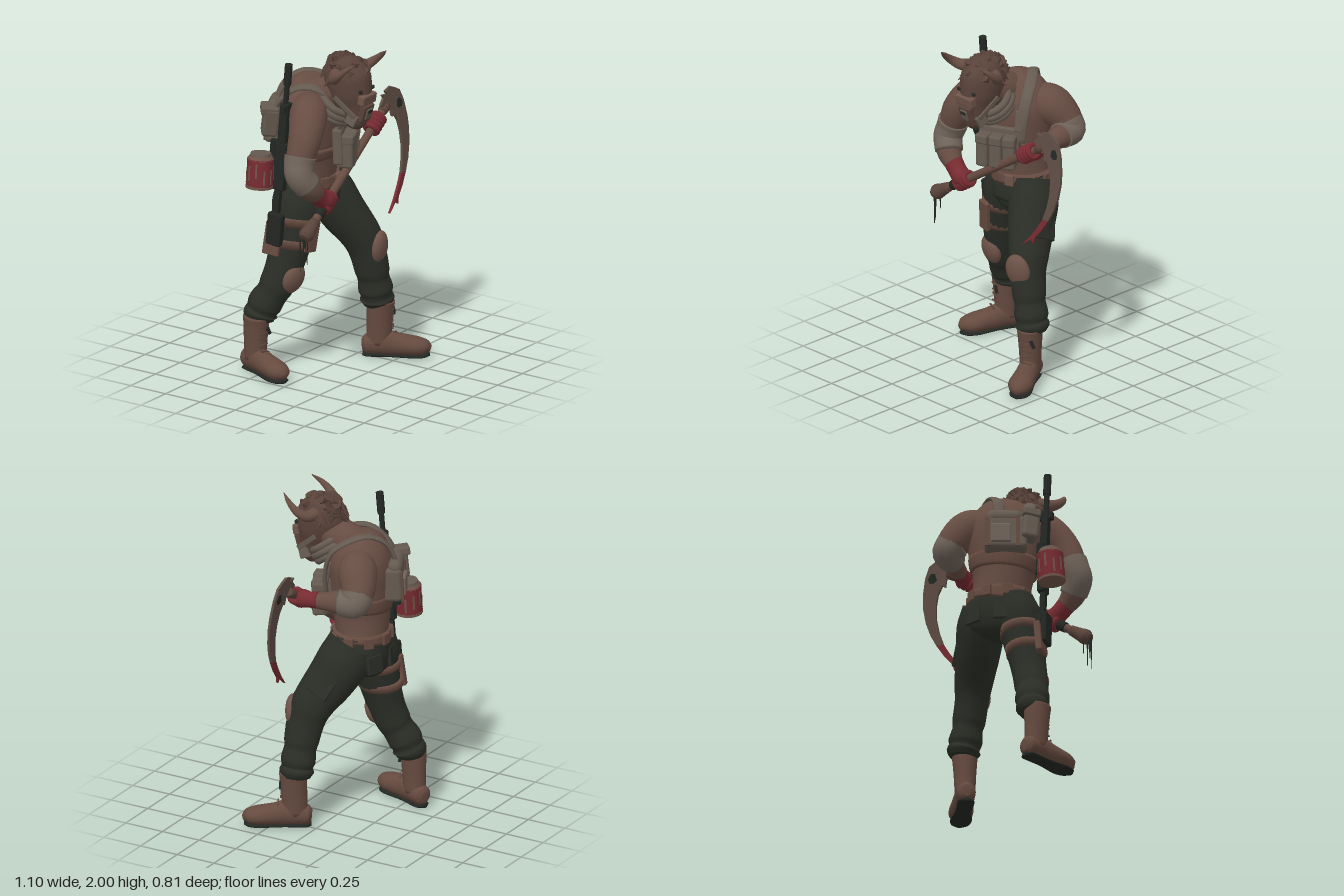
import * as THREE from 'three';
import { RoundedBoxGeometry } from 'three/addons/geometries/RoundedBoxGeometry.js';

const mat = (name, color) => Object.assign(new THREE.MeshStandardMaterial({ color }), { name });
const M = {
  skin: mat('skin', 0x674d43), hide: mat('hide', 0x59433a), pants: mat('trousers', 0x2b2e27),
  red: mat('red', 0x762b31), gear: mat('canvas', 0x655a50), wrap: mat('bandage', 0x70645a),
  leather: mat('leather', 0x654a3f), knee: mat('kneePad', 0x6e5348), dark: mat('gunmetal', 0x232723),
  blade: mat('wornBlade', 0x5e4d44),
};
const TWIST = 0.44; // the chest is turned towards the model's left
const CHEST = [Math.cos(TWIST), 0, -Math.sin(TWIST)];

// Closed sweep: stations are [x, y, z, sideRadius, frontRadius]
function sweep(pts, ref = [1, 0, 0], n = 20, per = 6) {
  const path = new THREE.CatmullRomCurve3(pts.map(p => new THREE.Vector3(p[0], p[1], p[2])));
  const size = new THREE.CatmullRomCurve3(pts.map(p => new THREE.Vector3(p[3], p[4] ?? p[3], 0)), false, 'catmullrom', 0.4);
  const steps = (pts.length - 1) * per, pos = [], idx = [];
  const A = new THREE.Vector3(...ref), B = new THREE.Vector3();
  for (let i = 0; i <= steps; i++) {
    const c = path.getPoint(i / steps), s = size.getPoint(i / steps), T = path.getTangent(i / steps);
    A.addScaledVector(T, -A.dot(T)).normalize();
    B.crossVectors(A, T);
    for (let j = 0; j < n; j++) {
      const t = j / n * Math.PI * 2;
      const p = c.clone().addScaledVector(A, Math.cos(t) * s.x).addScaledVector(B, Math.sin(t) * s.y);
      pos.push(p.x, p.y, p.z);
      const k = (j + 1) % n, a = i * n + j, b = i * n + k;
      if (i < steps) idx.push(a, a + n, b + n, a, b + n, b);
    }
  }
  const start = pos.length / 3, last = steps * n;
  pos.push(...pts[0].slice(0, 3), ...pts[pts.length - 1].slice(0, 3));
  for (let j = 0; j < n; j++) {
    const k = (j + 1) % n;
    idx.push(start, j, k, start + 1, last + k, last + j);
  }
  const g = new THREE.BufferGeometry();
  g.setAttribute('position', new THREE.Float32BufferAttribute(pos, 3));
  g.setIndex(idx);
  g.computeVertexNormals();
  return g;
}

export function createModel() {
  const root = new THREE.Group();
  root.name = 'hornedWarrior';
  const add = (name, geo, m, p = [0, 0, 0], r = [0, 0, 0], s = [1, 1, 1], parent = root) => {
    const o = new THREE.Mesh(geo, m);
    o.name = name;
    o.position.set(...p); o.rotation.set(...r); o.scale.set(...s);
    parent.add(o);
    return o;
  };
  const box = (name, w, h, d, m, p, r, parent) =>
    add(name, new RoundedBoxGeometry(w, h, d, 2, Math.min(w, h, d) * 0.22), m, p, r, undefined, parent);
  const ball = (name, s, m, p, r) => add(name, new THREE.SphereGeometry(1, 20, 14), m, p, r, s);
  const cyl = (name, r1, r2, h, m, p, r, parent) =>
    add(name, new THREE.CylinderGeometry(r1, r2, h, 20), m, p, r, undefined, parent);

  // Torso, neck and hips
  add('torso', sweep([[-.06, 1.12, -.13, .17, .15], [-.075, 1.28, -.12, .175, .165], [-.085, 1.45, -.11, .215, .185],
    [-.09, 1.6, -.1, .235, .19], [-.095, 1.7, -.075, .195, .165], [-.1, 1.765, -.04, .1, .09]], CHEST, 32), M.skin);
  add('neck', sweep([[-.1, 1.68, -.08, .11], [-.095, 1.73, .03, .105], [-.09, 1.76, .14, .09]]), M.skin);
  add('hips', sweep([[-.05, 1.19, -.13, .172, .155], [-.05, 1.08, -.125, .215, .172], [-.05, 1.0, -.115, .205, .165],
    [-.045, .95, -.1, .13, .13], [-.04, .915, -.09, .04, .06]], undefined, 28), M.pants);
  add('belt', sweep([[-.055, 1.13, -.128, .19, .168], [-.06, 1.16, -.128, .188, .168], [-.06, 1.2, -.128, .181, .166]], undefined, 28, 2), M.leather);
  for (let i = 0; i < 9; i++) {
    const a = i / 9 * Math.PI * 2 + .3;
    box('beltPouch', .06, .068, .025, i ? M.leather : M.knee, [-.058 + Math.sin(a) * .187, 1.165, -.128 + Math.cos(a) * .168], [0, a, 0]);
  }
  add('chestBand', sweep([[-.08, 1.33, -.115, .196, .176], [-.083, 1.37, -.115, .208, .184], [-.085, 1.41, -.112, .216, .187]], CHEST, 32, 2), M.leather);

  // Legs
  const leftLeg = [[.045, 1.14, -.125, .12, .145], [.08, 1.03, -.085, .14, .158], [.12, .92, -.03, .13, .15], [.19, .76, .06, .112, .128],
    [.215, .66, .09, .098, .115], [.24, .54, .105, .097, .105], [.25, .49, .108, .088, .097], [.265, .42, .113, .1, .104],
    [.272, .38, .115, .09, .094], [.278, .355, .115, .1, .103], [.282, .32, .115, .08, .085]];
  const rightLeg = [[-.15, 1.14, -.13, .12, .145], [-.18, 1.03, -.132, .138, .156], [-.21, .9, -.135, .122, .14], [-.265, .66, -.165, .102, .116],
    [-.295, .54, -.2, .1, .107], [-.31, .49, -.222, .094, .097], [-.328, .42, -.262, .102, .104], [-.335, .38, -.277, .09, .094],
    [-.34, .355, -.285, .1, .102], [-.345, .32, -.287, .08, .085]];
  add('leftTrouserLeg', sweep(leftLeg), M.pants);
  add('rightTrouserLeg', sweep(rightLeg), M.pants);
  ball('leftKneePad', [.08, .104, .045], M.knee, [.217, .7, .174], [.1, .25, .12]);
  ball('rightKneePad', [.08, .096, .045], M.knee, [-.283, .595, -.09], [.25, -.2, -.1]);
  box('leftCargoPocket', .035, .15, .15, M.pants, [.232, .92, -.03], [-.45, 0, .4]);
  for (const s of [-1, 1]) box('seatPocket', .11, .11, .02, M.pants, [-.05 + s * .095, 1.03, -.278], [.08, s * -.3 + Math.PI, 0]);
  // Thigh rig with holster on the right leg
  for (const [x, y, z, r] of [[-.203, .93, -.135, .13], [-.235, .8, -.147, .12]])
    add('thighStrap', sweep([[x, y + .025, z, r, r * 1.15], [x - .008, y - .025, z, r, r * 1.15]], undefined, 24, 1), M.leather);
  box('thighPouch', .08, .19, .03, M.leather, [-.235, .86, .01], [.1, -.2, -.1]);
  box('holster', .04, .2, .11, M.leather, [-.345, .84, -.19], [.1, .1, -.12]);
  box('holsterGrip', .035, .08, .05, M.dark, [-.34, .96, -.19], [.3, 0, 0]);

  // Boots
  const boot = (name, x, z, yaw) => {
    const g = new THREE.Group();
    g.name = name; g.position.set(x, 0, z); g.rotation.y = yaw;
    root.add(g);
    add('bootShaft', sweep([[0, .35, -.005, .078, .082], [0, .3, -.01, .073, .08], [0, .2, -.015, .066, .076], [0, .08, -.02, .06, .075]]), M.leather, undefined, undefined, undefined, g);
    add('bootFoot', sweep([[0, .07, -.118, .025, .035], [0, .072, -.095, .055, .058], [0, .085, .02, .06, .075], [0, .076, .1, .066, .066],
      [0, .068, .2, .073, .056], [0, .062, .255, .055, .044], [0, .052, .287, .018, .018]]), M.leather, undefined, undefined, undefined, g);
    add('bootSole', sweep([[0, .013, -.115, .02, .012], [0, .013, -.085, .05, .013], [0, .013, .05, .048, .013],
      [0, .013, .19, .064, .013], [0, .014, .25, .05, .013], [0, .018, .28, .015, .01]]), M.dark, undefined, undefined, undefined, g);
    for (let i = 0; i < 5; i++)
      box('lace', .06, .008, .01, M.hide, [0, .15 + i * .035, [.079, .064, .061, .063, .067][i]], [0, 0, i % 2 ? .2 : -.2], g);
    box('laceKnot', .02, .05, .012, M.dark, [.035, .27, .068], [0, 0, .4], g);
  };
  boot('leftBoot', .285, .145, .53);
  boot('rightBoot', -.375, -.285, -.35);

  // Arms, bandages and gloves
  add('rightArm', sweep([[-.2, 1.65, -.03, .1], [-.285, 1.63, .02, .112], [-.38, 1.53, .065, .1], [-.45, 1.38, .07, .08],
    [-.465, 1.32, .085, .078], [-.42, 1.24, .12, .072], [-.33, 1.155, .14, .045]], [0, 0, 1]), M.skin);
  add('rightElbowWrap', sweep([[-.436, 1.425, .068, .093], [-.452, 1.38, .07, .089], [-.466, 1.32, .085, .086], [-.425, 1.245, .117, .082]], [0, 0, 1]), M.wrap);
  add('rightGlove', sweep([[-.385, 1.205, .13, .058], [-.33, 1.155, .138, .055], [-.28, 1.125, .148, .056], [-.235, 1.105, .15, .025]], [0, 0, 1]), M.red);
  add('leftArm', sweep([[.03, 1.65, -.15, .1], [.11, 1.62, -.2, .117], [.18, 1.54, -.245, .1], [.222, 1.475, -.25, .08],
    [.235, 1.47, -.16, .073], [.247, 1.46, -.06, .055], [.255, 1.455, .04, .042]], [0, 0, 1]), M.skin);
  add('leftElbowWrap', sweep([[.192, 1.522, -.245, .1], [.22, 1.48, -.25, .09], [.235, 1.47, -.155, .08]], [0, 0, 1]), M.wrap);
  add('leftGlove', sweep([[.252, 1.46, -.02, .052], [.257, 1.455, .03, .047], [.259, 1.452, .09, .055], [.257, 1.45, .135, .033]], [0, 1, 0]), M.red);

  // Long-handled sickle
  const low = new THREE.Vector3(-.49, .97, .15), high = new THREE.Vector3(.36, 1.52, .115);
  const dir = high.clone().sub(low).normalize();
  const along = (t, r) => [...low.clone().addScaledVector(dir, t).toArray(), r];
  add('handle', sweep([along(0, .025), along(.5, .025), along(1.01, .024)]), M.leather);
  add('handleKnob', sweep([along(-.03, .03), along(.0, .046), along(.05, .038), along(.11, .03)]), M.hide);
  add('handleBinding', sweep([along(.15, .03), along(.2, .032), along(.25, .03)]), M.dark);
  const gripTurn = new THREE.Quaternion().setFromUnitVectors(new THREE.Vector3(0, 0, 1), dir);
  for (const [name, t] of [['rightFingers', .26], ['leftFingers', .88]]) {
    const g = new THREE.Group();
    g.name = name; g.position.set(...along(t, 0).slice(0, 3)); g.quaternion.copy(gripTurn);
    root.add(g);
    for (let i = 0; i < 4; i++)
      add('finger', new THREE.TorusGeometry(.037, .018, 8, 18), M.red, [0, 0, (i - 1.5) * .029], undefined, undefined, g);
  }
  const drips = [[-.53, .2], [-.515, .12], [-.495, .16], [-.48, .09], [-.505, .06]];
  drips.forEach(([x, l], i) => cyl('drip', .005, .002, l, M.dark, [x, .95 - l / 2, .135 + (i % 3) * .012]));
  const bladePiece = (name, pts, m, depth = .016) => {
    const g = new THREE.ExtrudeGeometry(new THREE.Shape(pts.map(p => new THREE.Vector2(...p))), { depth, bevelEnabled: false });
    const p = g.attributes.position;
    for (let i = 0; i < p.count; i++) p.setZ(i, p.getZ(i) + .15 - depth / 2 - (p.getY(i) - 1.3) * .12);
    g.computeVertexNormals();
    add(name, g, m);
  };
  bladePiece('blade', [[.3, 1.545], [.335, 1.58], [.32, 1.6], [.37, 1.595], [.355, 1.615], [.41, 1.632], [.45, 1.615], [.495, 1.59],
    [.525, 1.52], [.545, 1.42], [.548, 1.34], [.535, 1.25], [.51, 1.17], [.475, 1.1], [.43, 1.1], [.455, 1.18], [.468, 1.26], [.466, 1.34],
    [.45, 1.41], [.42, 1.46], [.4, 1.45], [.39, 1.5], [.35, 1.49], [.33, 1.52]], M.blade);
  bladePiece('bladeTip', [[.43, 1.1], [.475, 1.1], [.43, 1.03], [.38, .97], [.37, .93], [.355, .955], [.28, .895], [.345, .97], [.395, 1.04]], M.red);
  bladePiece('bladePit', [[.45, 1.5], [.47, 1.485], [.5, 1.49], [.505, 1.515], [.485, 1.545], [.46, 1.54]], M.dark, .02);
  add('bladeSocket', sweep([along(.97, .028), along(1.0, .031), along(1.03, .026)]), M.hide);

  // Horned head
  add('head', sweep([[-.095, 1.965, .13, .035, .04], [-.095, 1.935, .14, .09, .1], [-.09, 1.85, .16, .115, .15], [-.09, 1.75, .185, .108, .135],
    [-.09, 1.66, .205, .08, .105], [-.09, 1.59, .215, .064, .08], [-.09, 1.545, .205, .035, .045]], undefined, 24), M.hide);
  for (const s of [-1, 1]) {
    const c = -.103;
    add('horn', sweep([[c + s * .08, 1.885, .15, .04], [c + s * .15, 1.875, .18, .034], [c + s * .187, 1.905, .225, .026],
      [c + s * .185, 1.955, .285, .016], [c + s * .16, 1.995, .335, .003]], [0, 1, 0], 14), M.skin);
    add('ear', new THREE.ConeGeometry(.03, .09, 10), M.hide, [c + s * .12, 1.83, .11], [0, 0, s * -1.9], [1, 1, .5]);
    box('faceStrap', .012, .03, .17, M.gear, [-.09 + s * .1, 1.69, .21], [.7, s * -.15, 0]);
    box('jawGuard', .025, .07, .07, M.gear, [-.09 + s * .068, 1.61, .24], [.4, 0, s * .2]);
    ball('eye', [.014, .012, .01], M.dark, [-.09 + s * .062, 1.79, .3]);
  }
  box('noseGuard', .135, .065, .05, M.knee, [-.09, 1.735, .302], [.15, 0, 0]);
  box('muzzle', .1, .11, .05, M.hide, [-.09, 1.65, .288], [.3, 0, 0]);
  box('muzzleFilter', .055, .07, .03, M.gear, [-.09, 1.645, .306], [.3, 0, 0]);
  box('filterSlot', .04, .02, .012, M.dark, [-.09, 1.66, .324], [.3, 0, 0]);

  // Matted hair lying back and down over the skull
  let seed = 7;
  const rnd = () => (seed = (seed * 16807) % 2147483647) / 2147483647;
  for (let i = 0; i < 80; i++) {
    const a = rnd() * Math.PI * 2, e = rnd() * 1.4;
    const n = new THREE.Vector3(Math.cos(a) * Math.cos(e), Math.sin(e), Math.sin(a) * Math.cos(e));
    const o = add('hairLock', new THREE.ConeGeometry(.026, .075, 6), M.hide,
      [-.092 + n.x * .108, 1.84 + n.y * .112, .15 + n.z * .142]);
    n.multiplyScalar(.45).add(new THREE.Vector3(rnd() - .5, -.6, (rnd() - .5) * 1.2));
    o.quaternion.setFromUnitVectors(new THREE.Vector3(0, 1, 0), n.normalize());
  }

  // Scarf, dipping steeply from nape to chin
  for (const [y, z, r] of [[1.69, .105, .114], [1.66, .085, .122], [1.63, .07, .115]])
    add('scarf', new THREE.TorusGeometry(r, .022, 10, 32), M.gear, [-.088, y, z], [2.2, 0, .06]);

  // Chest rig, shoulder straps and pack, aligned with the chest
  const rig = new THREE.Group();
  rig.name = 'chestRig'; rig.position.set(-.085, 1.42, -.11); rig.rotation.y = TWIST;
  root.add(rig);
  box('rigPanel', .25, .22, .06, M.gear, [-.035, -.01, .19], [-.04, 0, 0], rig);
  for (let i = -1; i <= 1; i++) {
    box('magazinePouch', .076, .19, .09, M.gear, [i * .08 - .035, -.045, .24], [0, i * .15, 0], rig);
    box('pouchFlap', .08, .06, .096, M.gear, [i * .08 - .035, .035, .242], [0, i * .15, 0], rig);
  }
  box('radio', .05, .13, .04, M.gear, [.09, .15, .195], [-.15, 0, 0], rig);
  const straps = [
    [[.09, .02, .2], [.11, .18, .2], [.12, .29, .16], [.11, .355, .06], [.075, .375, -.05], [.045, .32, -.15], [.035, .2, -.205], [.03, .1, -.21]],
    [[-.1, .02, .2], [-.13, .18, .19], [-.145, .3, .14], [-.155, .355, .04], [-.15, .34, -.06], [-.13, .24, -.165], [-.11, .1, -.195]]];
  for (const line of straps)
    add('shoulderStrap', sweep(line.map(p => [...p, .037, .014]), [1, 0, 0], 12), M.gear, undefined, undefined, undefined, rig);
  box('pack', .25, .21, .12, M.gear, [0, .085, -.19], [.05, 0, 0], rig);
  box('packPocket', .12, .12, .05, M.wrap, [.03, .07, -.245], undefined, rig);
  add('packRoll', new THREE.CapsuleGeometry(.045, .13, 6, 14), M.gear, [.01, .19, -.205], [0, 0, Math.PI / 2], undefined, rig);
  box('sidePouch', .1, .18, .1, M.gear, [-.14, .13, -.21], [.1, .25, .1], rig);
  box('sidePouchFlap', .105, .05, .105, M.gear, [-.145, .205, -.215], [.1, .25, .1], rig);
  for (const x of [-.07, .11]) box('packStrap', .025, .19, .012, M.leather, [x, .08, -.252], [.05, 0, 0], rig);

  // Fuel canister hung behind the right hip
  const can = new THREE.Group();
  can.name = 'canister'; can.position.set(-.43, 1.27, -.225); can.rotation.z = -.08;
  root.add(can);
  cyl('canBody', .079, .079, .17, M.red, [0, 0, 0], undefined, can);
  cyl('canRim', .081, .081, .016, M.knee, [0, -.085, 0], undefined, can);
  cyl('canShoulder', .068, .08, .02, M.knee, [0, .09, 0], undefined, can);
  cyl('canLid', .06, .064, .02, M.gear, [0, .108, 0], undefined, can);
  for (let i = 0; i < 10; i++)
    box('canWear', .012, .09, .006, M.knee, [Math.sin(i * .628) * .078, (i % 3 - 1) * .02, Math.cos(i * .628) * .078], [0, i * .628, 0], can);

  // Rifle slung down the back right side
  const gun = new THREE.Group();
  gun.name = 'rifle'; gun.position.set(-.345, 1.37, -.13); gun.rotation.x = .09;
  root.add(gun);
  cyl('suppressor', .023, .023, .13, M.dark, [0, .51, 0], undefined, gun);
  cyl('barrel', .016, .016, .3, M.dark, [0, .36, 0], undefined, gun);
  box('handguard', .045, .26, .055, M.dark, [0, .2, 0], undefined, gun);
  box('frontSight', .09, .05, .035, M.dark, [0, .3, .005], undefined, gun);
  box('receiver', .05, .3, .08, M.dark, [0, -.07, 0], undefined, gun);
  cyl('scope', .022, .022, .2, M.dark, [0, -.02, -.06], undefined, gun);
  box('magazine', .035, .07, .13, M.dark, [0, .0, .05], [.3, 0, 0], gun);
  box('stockTube', .035, .2, .04, M.dark, [-.005, -.3, 0], undefined, gun);
  box('stock', .05, .2, .1, M.dark, [-.02, -.46, .01], undefined, gun);
  return root;
}
